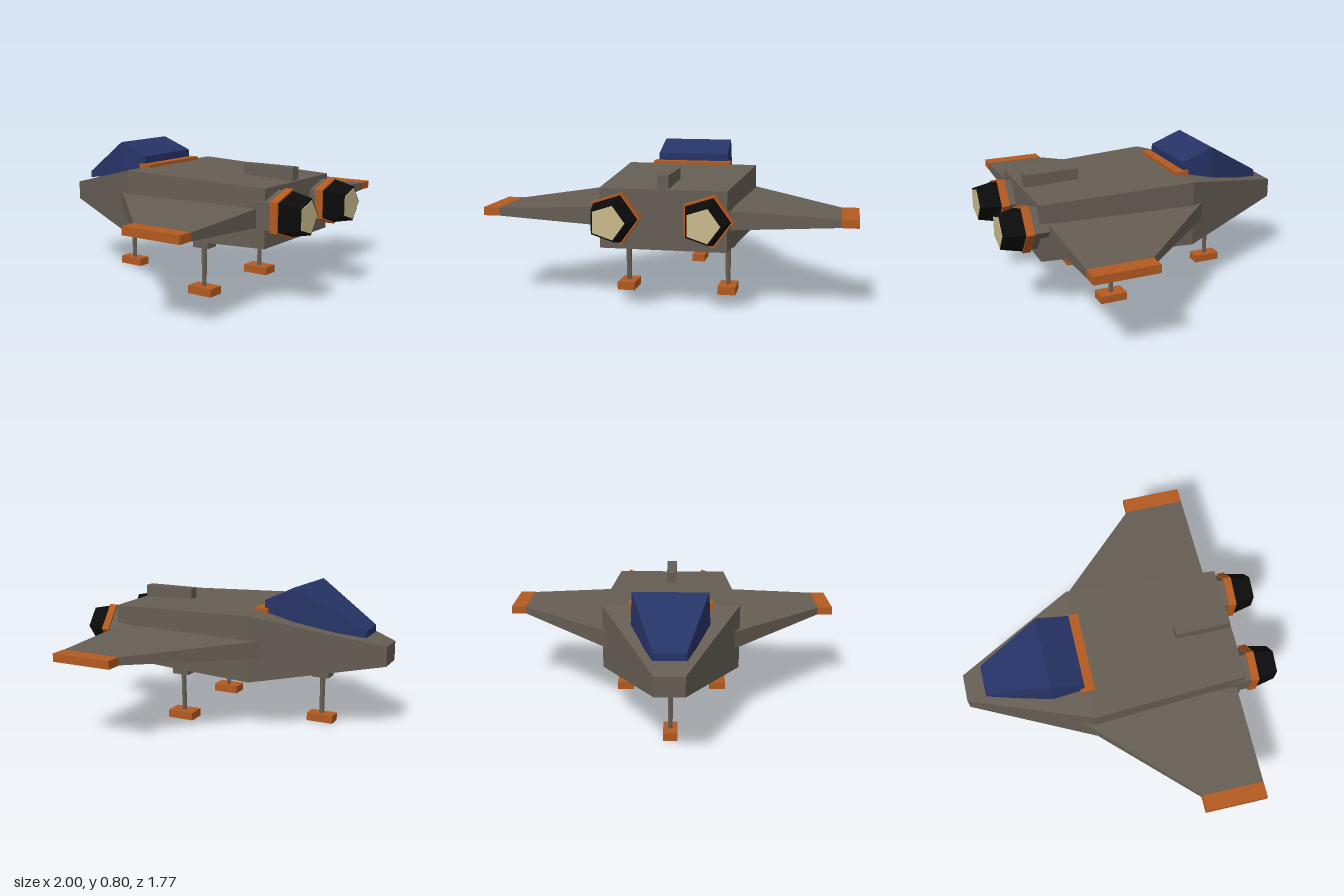
import * as THREE from 'three';
import { ConvexGeometry } from 'three/addons/geometries/ConvexGeometry.js';

const paint = (name, color) => {
  const m = new THREE.MeshStandardMaterial({ color });
  m.name = name;
  return m;
};

export function createModel() {
  const hull = paint('hull grey', 0x665e54);
  const orange = paint('trim orange', 0xb35a20);
  const glass = paint('canopy blue', 0x263366);
  const black = paint('nozzle black', 0x0b0b0b);
  const glow = paint('exhaust cream', 0xcaba8a);

  const model = new THREE.Group();
  model.name = 'spacecraft';

  const add = (parent, name, geometry, material, x = 0, y = 0, z = 0) => {
    const mesh = new THREE.Mesh(geometry, material);
    mesh.name = name;
    mesh.position.set(x, y, z);
    parent.add(mesh);
    return mesh;
  };

  // Box given by its limits on each axis
  const block = (parent, name, material, [x0, x1], [y0, y1], [z0, z1]) =>
    add(parent, name, new THREE.BoxGeometry(x1 - x0, y1 - y0, z1 - z0), material,
      (x0 + x1) / 2, (y0 + y1) / 2, (z0 + z1) / 2);

  // Convex body through cross-sections [z, half width at bottom, half width at top, bottom, top]
  const sections = (list) => new ConvexGeometry(list.flatMap(([z, wb, wt, b, t]) => [
    new THREE.Vector3(-wb, b, z), new THREE.Vector3(wb, b, z),
    new THREE.Vector3(wt, t, z), new THREE.Vector3(-wt, t, z),
  ]));

  // Faceted cylinder along z, with one corner towards +x
  const prism = (rBack, rFront, z0, z1, sides = 5) => {
    const g = new THREE.CylinderGeometry(rBack, rFront, z1 - z0, sides, 1, false, Math.PI / 2)
      .rotateX(Math.PI / 2).translate(0, 0, (z0 + z1) / 2).toNonIndexed();
    g.computeVertexNormals();
    return g;
  };

  // Fuselage, tapered to a blunt nose
  add(model, 'fuselage', sections([
    [-0.885, 0.08, 0.08, 0.39, 0.5],
    [-0.2, 0.39, 0.39, 0.295, 0.667],
    [0.68, 0.337, 0.337, 0.322, 0.64],
  ]), hull);

  // Canopy and the trim behind it
  add(model, 'canopy', sections([
    [-0.77, 0.09, 0.085, 0.54, 0.58],
    [-0.405, 0.217, 0.208, 0.6, 0.798],
    [-0.22, 0.217, 0.212, 0.64, 0.727],
  ]), glass);
  block(model, 'canopyTrim', orange, [-0.235, 0.235], [0.64, 0.684], [-0.245, -0.165]);
  block(model, 'dorsalFin', hull, [-0.03, 0.03], [0.62, 0.713], [0.35, 0.665]);

  for (const side of [1, -1]) {
    const label = side > 0 ? 'left' : 'right';

    // Wing with orange tip
    const wing = [];
    for (const [x, z0, z1, y0, y1] of [[0.35, -0.28, 0.635, 0.432, 0.532], [0.91, 0.285, 0.635, 0.465, 0.508]])
      for (const y of [y0, y1]) for (const z of [z0, z1]) wing.push(new THREE.Vector3(side * x, y, z));
    add(model, label + 'Wing', new ConvexGeometry(wing), hull);
    add(model, label + 'WingTip', new THREE.BoxGeometry(0.09, 0.045, 0.35), orange, side * 0.955, 0.487, 0.46);

    // Engine
    const engine = new THREE.Group();
    engine.name = label + 'Engine';
    engine.position.set(side * 0.24, 0.497, 0);
    add(engine, 'engineBody', prism(0.127, 0.127, 0.4, 0.725), hull);
    add(engine, 'engineRing', prism(0.14, 0.14, 0.72, 0.765), orange);
    add(engine, 'nozzle', prism(0.102, 0.13, 0.76, 0.882), black);
    add(engine, 'exhaust', prism(0.092, 0.092, 0.878, 0.885), glow);
    model.add(engine);
  }

  // Landing legs: one under the nose, two at the rear
  for (const [name, x, z, width] of [['noseLeg', 0, -0.49, 0.08], ['leftLeg', 0.288, 0.262, 0.1], ['rightLeg', -0.288, 0.262, 0.1]]) {
    const leg = new THREE.Group();
    leg.name = name;
    leg.position.set(x, 0, z);
    block(leg, 'mount', hull, [-0.04, 0.04], [0.268, 0.35], [-0.05, 0.05]);
    const strut = new THREE.CylinderGeometry(0.017, 0.014, 0.24, 6).toNonIndexed();
    strut.computeVertexNormals();
    add(leg, 'strut', strut, hull, 0, 0.155, 0);
    block(leg, 'foot', orange, [-width / 2, width / 2], [0, 0.045], [-0.078, 0.078]);
    model.add(leg);
  }

  return model;
}
